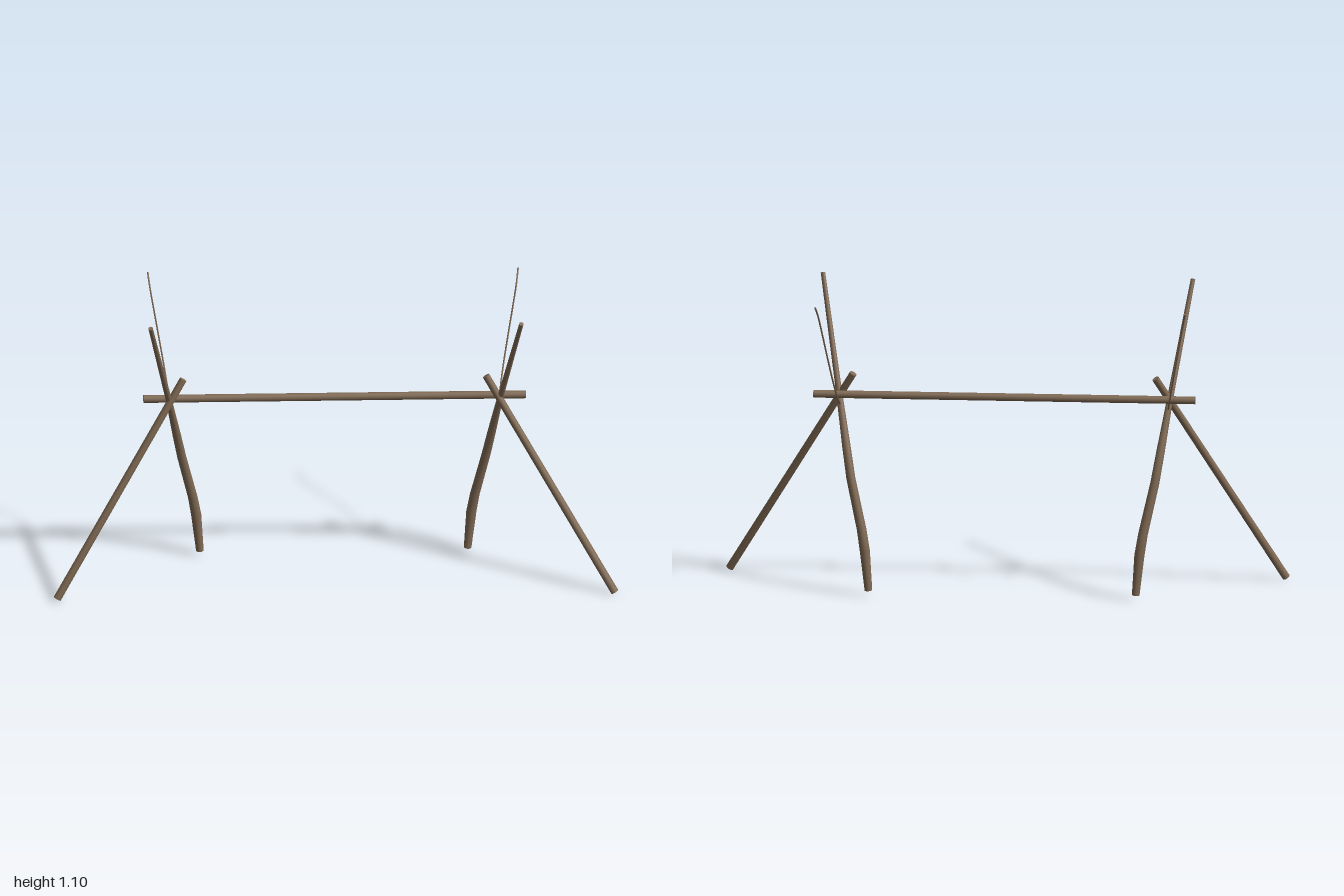
import * as THREE from 'three';

const SIDES = 12;

// Round stick lofted through [x, y, z, radius] stations, closed at both ends
function stick(stations, sides = SIDES) {
  const pts = stations.map(([x, y, z]) => new THREE.Vector3(x, y, z));
  const pos = [], idx = [];
  const rings = pts.map((p, i) => {
    const t = pts[Math.min(i + 1, pts.length - 1)].clone().sub(pts[Math.max(i - 1, 0)]).normalize();
    const u = new THREE.Vector3(1, 0, 0).cross(t).normalize();
    const v = t.clone().cross(u);
    return Array.from({ length: sides }, (_, k) => {
      const a = (k / sides) * Math.PI * 2, r = stations[i][3];
      return p.clone().addScaledVector(u, Math.cos(a) * r).addScaledVector(v, Math.sin(a) * r);
    });
  });
  rings.forEach((ring) => ring.forEach((q) => pos.push(q.x, q.y, q.z)));
  for (let i = 0; i < rings.length - 1; i++) {
    for (let k = 0; k < sides; k++) {
      const a = i * sides + k, b = i * sides + (k + 1) % sides;
      idx.push(a, b, b + sides, a, b + sides, a + sides);
    }
  }
  // End caps use their own vertices so the rim stays sharp
  [0, rings.length - 1].forEach((i) => {
    const base = pos.length / 3;
    [...rings[i], pts[i]].forEach((q) => pos.push(q.x, q.y, q.z));
    for (let k = 0; k < sides; k++) {
      const a = base + k, b = base + (k + 1) % sides, c = base + sides;
      if (i === 0) idx.push(b, a, c);
      else idx.push(a, b, c);
    }
  });
  const g = new THREE.BufferGeometry();
  g.setAttribute('position', new THREE.Float32BufferAttribute(pos, 3));
  g.setIndex(idx);
  g.computeVertexNormals();
  return g;
}

export function createModel() {
  const model = new THREE.Group();
  model.name = 'stickFrame';
  const wood = new THREE.MeshStandardMaterial({ color: 0x806a54 });
  wood.name = 'brown wood';

  const add = (parent, name, geometry) => {
    const mesh = new THREE.Mesh(geometry, wood);
    mesh.name = name;
    parent.add(mesh);
    return mesh;
  };

  // Horizontal pole resting in the crossed sticks
  const pole = add(model, 'crossPole', new THREE.CylinderGeometry(0.014, 0.014, 1.352, SIDES));
  pole.rotation.z = Math.PI / 2;
  pole.position.set(0, 0.703, 0.018);

  // Straight front leg
  const straightLeg = [[0.985, 0.008, 0.212, 0.014], [0.535, 0.78, 0.018, 0.013]];

  // Bowed rear leg, running up past the pole into a thin prong
  const bowedLeg = [
    [0.473, 0.02, -0.105, 0.0135], [0.486, 0.165, -0.103, 0.018],
    [0.498, 0.24, -0.094, 0.017], [0.538, 0.42, -0.066, 0.016],
    [0.556, 0.526, -0.031, 0.015], [0.585, 0.70, 0.031, 0.011],
    [0.655, 1.095, 0.211, 0.008],
  ];

  // Thin twig curling up behind the pole: [y, z] pairs, x leans with height
  const twigCurve = new THREE.CatmullRomCurve3([
    [0.665, 0.02], [0.70, -0.03], [0.77, -0.08], [0.87, -0.118],
    [0.97, -0.148], [1.035, -0.172], [1.06, -0.192], [1.083, -0.22],
  ].map(([y, z]) => new THREE.Vector3(0.58 + (y - 0.665) * 0.178, y, z)));
  const twig = twigCurve.getPoints(28).map((p) => [p.x, p.y, p.z, 0.0032]);

  for (const [side, s] of [['left', 1], ['right', -1]]) {
    const trestle = new THREE.Group();
    trestle.name = side + 'Trestle';
    const mirror = (list) => list.map(([x, y, z, r]) => [s * x, y, z, r]);
    add(trestle, side + 'StraightLeg', stick(mirror(straightLeg)));
    add(trestle, side + 'BowedLeg', stick(mirror(bowedLeg)));
    add(trestle, side + 'Twig', stick(mirror(twig), 6));
    model.add(trestle);
  }
  return model;
}
